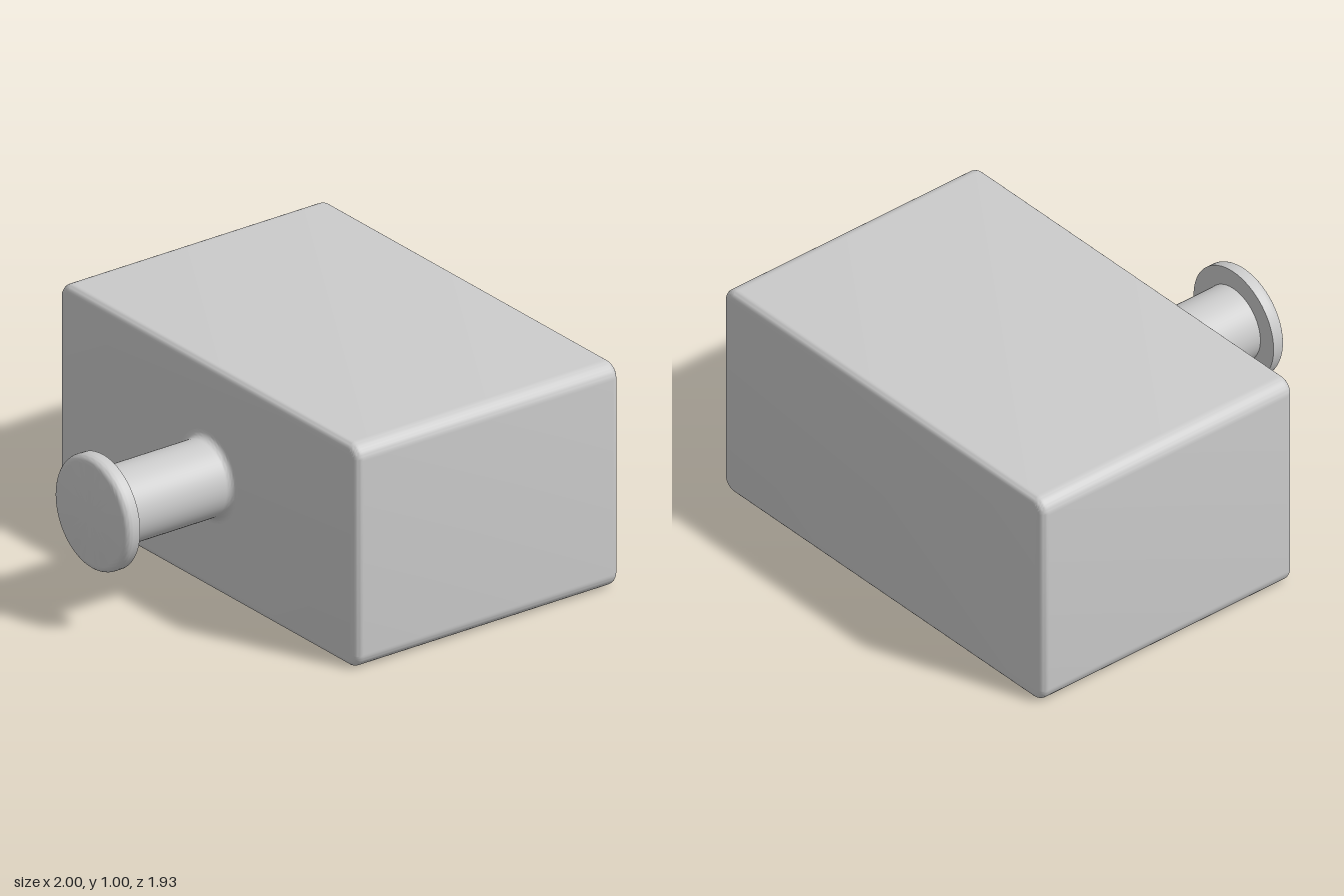
import * as THREE from 'three';
import { toCreasedNormals } from 'three/addons/utils/BufferGeometryUtils.js';

const FRONT = 0.367, BACK = -0.967, TIP = 0.967;
const CORNER = 0.067, FILLET = 0.033;
const material = new THREE.MeshStandardMaterial({ color: 0xcccccc });

function part(name, geometry) {
  const mesh = new THREE.Mesh(toCreasedNormals(geometry, 0.6), material);
  mesh.name = name;
  return mesh;
}

// Rounded rectangle extruded along z, with filleted front and back rims
function bodyGeometry() {
  const w = 1 - CORNER, lo = CORNER, hi = 1 - CORNER, q = Math.PI / 2;
  const shape = new THREE.Shape();
  shape.absarc(w, lo, CORNER, -q, 0);
  shape.absarc(w, hi, CORNER, 0, q);
  shape.absarc(-w, hi, CORNER, q, 2 * q);
  shape.absarc(-w, lo, CORNER, 2 * q, 3 * q);
  const geometry = new THREE.ExtrudeGeometry(shape, {
    depth: FRONT - BACK - 2 * FILLET, curveSegments: 8,
    bevelThickness: FILLET, bevelSize: FILLET, bevelOffset: -FILLET, bevelSegments: 6,
  });
  return geometry.translate(0, 0, BACK + FILLET);
}

// Points of a quarter arc in the knob profile (radius, distance along z)
function arc(cx, cy, from, to) {
  return Array.from({ length: 9 }, (_, i) => {
    const a = from + (to - from) * i / 8;
    return new THREE.Vector2(cx + FILLET * Math.cos(a), cy + FILLET * Math.sin(a));
  });
}

// Turned knob: flared foot, round stem and a disc with a softened front rim
function knobGeometry() {
  const stem = 0.167, disc = 0.25, discBack = 0.9;
  const profile = [
    ...arc(stem + FILLET, FRONT + FILLET, Math.PI * 1.5, Math.PI),
    new THREE.Vector2(stem, discBack),
    new THREE.Vector2(disc, discBack),
    ...arc(disc - FILLET, TIP - FILLET, 0, Math.PI / 2),
    new THREE.Vector2(0, TIP),
  ];
  return new THREE.LatheGeometry(profile, 64).rotateX(Math.PI / 2).translate(0, 0.5, 0);
}

export function createModel() {
  const model = new THREE.Group();
  model.name = 'boxWithKnob';
  model.add(part('body', bodyGeometry()), part('knob', knobGeometry()));
  return model;
}
